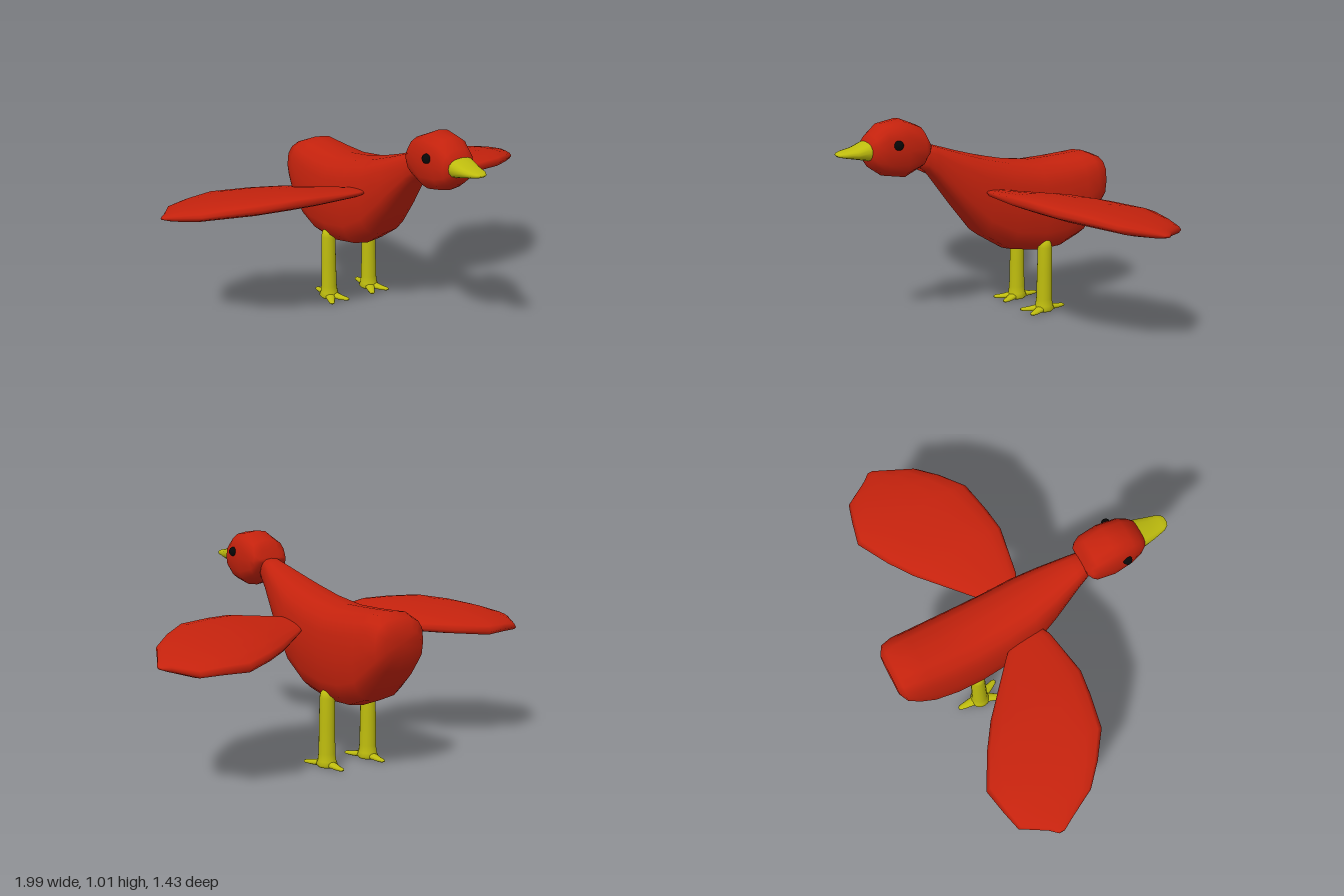
import * as THREE from 'three';

const red = new THREE.MeshStandardMaterial({ color: 0xc4220d });
red.name = 'red plumage';
const yellow = new THREE.MeshStandardMaterial({ color: 0xbebc0e });
yellow.name = 'yellow beak and legs';
const black = new THREE.MeshStandardMaterial({ color: 0x070707 });
black.name = 'black eye';

// Closed skin over rings of points, with a centre point capping each end
function loft(rings) {
  const n = rings[0].length, pts = rings.flat(), idx = [];
  for (let r = 0; r < rings.length - 1; r++) {
    for (let i = 0; i < n; i++) {
      const j = (i + 1) % n, a = r * n, b = a + n;
      idx.push(a + i, a + j, b + i, a + j, b + j, b + i);
    }
  }
  const centre = (ring) => ring.reduce((s, p) => s.add(p), new THREE.Vector3()).divideScalar(n);
  const last = (rings.length - 1) * n, c0 = pts.length;
  pts.push(centre(rings[0]), centre(rings[rings.length - 1]));
  for (let i = 0; i < n; i++) {
    const j = (i + 1) % n;
    idx.push(c0, j, i, c0 + 1, last + i, last + j);
  }
  // Turn all faces outward when the rings ran the other way
  let volume = 0;
  const cross = new THREE.Vector3();
  for (let i = 0; i < idx.length; i += 3) {
    volume += pts[idx[i]].dot(cross.crossVectors(pts[idx[i + 1]], pts[idx[i + 2]]));
  }
  if (volume < 0) idx.reverse();
  const geo = new THREE.BufferGeometry().setFromPoints(pts);
  geo.setIndex(idx);
  geo.computeVertexNormals();
  return geo;
}

// Rounded-square outline as pairs in -1..1; a higher power is boxier
function outline(n, power) {
  const f = (v) => Math.sign(v) * Math.abs(v) ** (2 / power);
  return Array.from({ length: n }, (_, i) => {
    const a = (i / n) * Math.PI * 2;
    return [f(Math.cos(a)), f(Math.sin(a))];
  });
}

// Loft along z from stations [z, top, bottom, halfWidth]
function loftZ(stations, power, n = 16) {
  return loft(stations.map(([z, top, bottom, w]) => outline(n, power).map(([u, v]) =>
    new THREE.Vector3(u * w, (top + bottom) / 2 + v * (top - bottom) / 2, z))));
}

function add(parent, name, geometry, material) {
  const mesh = new THREE.Mesh(geometry, material);
  mesh.name = name;
  parent.add(mesh);
  return mesh;
}

// Flat paddle wing: stations [x, front z, back z, half thickness, arch]
function wingGeometry(side) {
  const stations = [
    [0.11, 0.0, -0.14, 0.014, 0], [0.17, 0.028, -0.2, 0.022, 0],
    [0.4, 0.065, -0.4, 0.042, 0.014], [0.52, 0.05, -0.48, 0.047, 0.016],
    [0.68, 0.02, -0.565, 0.048, 0.016], [0.8, -0.065, -0.54, 0.042, 0.01],
    [0.895, -0.15, -0.515, 0.034, 0], [0.965, -0.28, -0.4, 0.02, -0.005],
    [0.997, -0.335, -0.365, 0.006, -0.008],
  ];
  return loft(stations.map(([x, zf, zb, t, arch]) => outline(16, 2.2).map(([u, v]) => {
    const z = (zf + zb) / 2 + u * (zf - zb) / 2;
    return new THREE.Vector3(side * x, 0.645 + 0.15 * z + arch + v * t, z);
  })));
}

// Leg with a domed top, flared foot and three toes
function buildLeg(side) {
  const leg = new THREE.Group();
  leg.name = side > 0 ? 'leftLeg' : 'rightLeg';
  leg.position.set(side * 0.12, 0, -0.335);
  const profile = [[0, 0.005], [0.04, 0.006], [0.05, 0.018], [0.043, 0.035], [0.039, 0.07],
    [0.037, 0.2], [0.035, 0.33], [0.03, 0.352], [0.019, 0.366], [0, 0.371]];
  add(leg, 'shank', new THREE.LatheGeometry(profile.map(([x, y]) => new THREE.Vector2(x, y)), 16), yellow);
  for (const [angle, length] of [[0.42, 0.118], [-0.42, 0.118], [Math.PI, 0.12]]) {
    const toe = loftZ([[0, 0.042, 0.005, 0.028], [0.04, 0.034, 0.004, 0.024],
      [length - 0.04, 0.026, 0.004, 0.018], [length - 0.01, 0.023, 0.006, 0.013],
      [length, 0.018, 0.01, 0.006]], 2, 10);
    toe.rotateY(angle);
    add(leg, 'toe', toe, yellow);
  }
  return leg;
}

export function createModel() {
  const bird = new THREE.Group();
  bird.name = 'bird';

  // Body tapering forward into the neck
  add(bird, 'body', loftZ([
    [0.3, 0.87, 0.785, 0.05], [0.27, 0.89, 0.758, 0.062], [0.23, 0.877, 0.72, 0.074],
    [0.1, 0.835, 0.555, 0.115], [-0.02, 0.8, 0.41, 0.145], [-0.16, 0.768, 0.323, 0.157],
    [-0.32, 0.746, 0.295, 0.166], [-0.45, 0.748, 0.3, 0.166], [-0.565, 0.753, 0.345, 0.161],
    [-0.635, 0.756, 0.425, 0.154], [-0.69, 0.735, 0.5, 0.138], [-0.715, 0.68, 0.57, 0.1],
  ], 2.8), red);

  // Head and beak
  add(bird, 'head', loftZ([
    [0.572, 0.925, 0.84, 0.066], [0.545, 0.957, 0.797, 0.085], [0.495, 1.0, 0.762, 0.1],
    [0.4, 1.015, 0.745, 0.11], [0.31, 0.977, 0.787, 0.105], [0.287, 0.93, 0.83, 0.096],
    [0.27, 0.895, 0.87, 0.075],
  ], 2.6), red);
  add(bird, 'beak', loftZ([
    [0.55, 0.93, 0.836, 0.072], [0.575, 0.926, 0.84, 0.068], [0.63, 0.904, 0.853, 0.057],
    [0.685, 0.894, 0.864, 0.043], [0.708, 0.888, 0.87, 0.028], [0.715, 0.882, 0.876, 0.014],
  ], 2.5), yellow);

  // Paired parts
  for (const side of [1, -1]) {
    const word = side > 0 ? 'left' : 'right';
    add(bird, word + 'Wing', wingGeometry(side), red);
    add(bird, word + 'Eye', new THREE.SphereGeometry(0.022, 16, 12), black)
      .position.set(side * 0.102, 0.912, 0.455);
    bird.add(buildLeg(side));
  }
  return bird;
}
